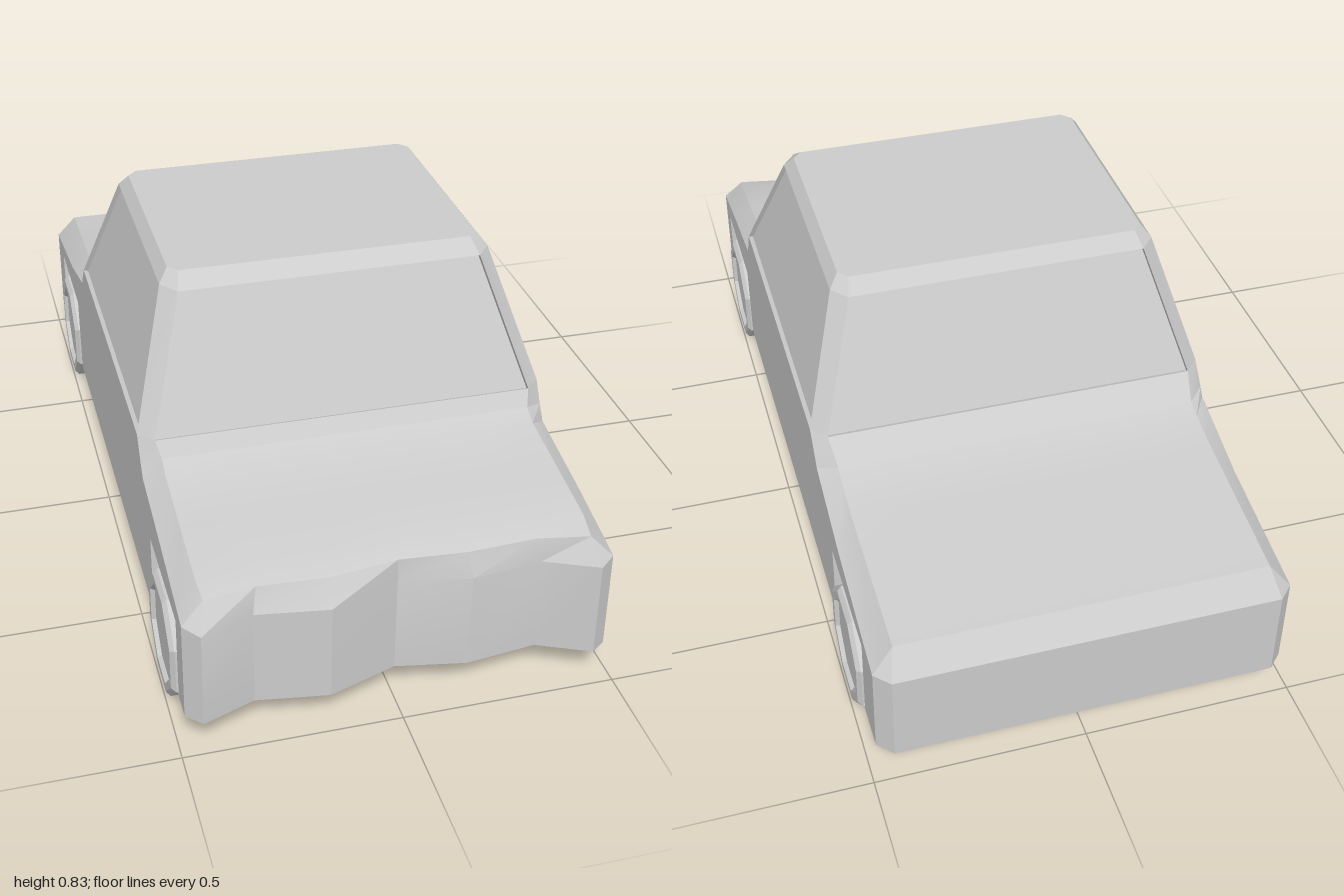
import * as THREE from 'three';
import { toCreasedNormals } from 'three/addons/utils/BufferGeometryUtils.js';

const grey = new THREE.MeshStandardMaterial({ color: 0xcccccc });
const W = 0.485, FLOOR = 0.085;
const V = (x, y, z) => new THREE.Vector3(x, y, z);

// Collects quads (dropping collapsed triangles) into a creased geometry
class Faces {
  constructor() { this.p = []; }
  tri(...t) {
    if (new THREE.Triangle(...t).getArea() > 1e-8) t.forEach(v => this.p.push(v.x, v.y, v.z));
  }
  quad(a, b, c, d) { this.tri(a, b, c); this.tri(a, c, d); }
  grid(rows) {
    for (let i = 0; i + 1 < rows.length; i++)
      for (let j = 0; j + 1 < rows[i].length; j++)
        this.quad(rows[i][j], rows[i][j + 1], rows[i + 1][j + 1], rows[i + 1][j]);
    return this;
  }
  geometry(crease = 0.35) {
    const g = new THREE.BufferGeometry();
    g.setAttribute('position', new THREE.Float32BufferAttribute(this.p, 3));
    g.computeVertexNormals();
    return toCreasedNormals(g, crease);
  }
}

// Crumpled front: z of the nose at each column across the width
const cols = [-1, -0.73, -0.36, 0, 0.36, 0.73, 1];
const dent = [1.0, 0.955, 0.98, 0.925, 0.955, 0.935, 0.99];

// Shoulder z, y (at full width), then top edge z, y and half width
const hoodRows = [
  [0.965, 0.33, 0.95, 0.38, 0.435], [0.9, 0.345, 0.89, 0.397, 0.44],
  [0.757, 0.375, 0.74, 0.42, 0.44], [0.535, 0.415, 0.58, 0.444, 0.44],
  [0.51, 0.45, 0.54, 0.465, 0.44], [0.48, 0.5, 0.515, 0.5, 0.45]];
const trunkRows = [
  [-0.355, 0.5, -0.393, 0.5, 0.45], [-0.4, 0.45, -0.45, 0.45, 0.44],
  [-0.415, 0.43, -0.49, 0.435, 0.44], [-0.634, 0.37, -0.58, 0.418, 0.44],
  [-0.965, 0.315, -0.95, 0.375, 0.435]];
const wheelWells = [[0.6, 0.9], [-0.86, -0.555]], WELL_LOW = 0.088, WELL_TOP = 0.295;

// One row across the car; z may vary by column
const across = ([zs, ys, zt, yt, t], zAt = () => zt) => [
  V(-W, ys, zs), ...cols.map((k, i) => V(k * t, yt, zAt(i))), V(W, ys, zs)];

function hoodAndNose() {
  const nose = i => dent[i];
  const rows = [
    across([0.965, FLOOR, 1, FLOOR, 0.45], nose),
    across([0.965, 0.33, 1, 0.322, 0.45], nose),
    across(hoodRows[0], i => 0.922 + 0.4 * (dent[i] - 0.925)),
    ...hoodRows.slice(1).map(r => across(r))];
  return new Faces().grid(rows).geometry();
}

function trunkAndTail() {
  const rows = [...trunkRows,
    [-0.965, 0.315, -1, 0.315, 0.45], [-0.965, FLOOR, -1, FLOOR, 0.45]];
  return new Faces().grid(rows.map(r => across(r))).geometry();
}

// Flat side with openings for the wheel wells; s = +1 left, -1 right
function sidePanel(s) {
  const pt = (z, y) => new THREE.Vector2(-s * z, y);
  const shape = new THREE.Shape([pt(0.965, FLOOR),
    ...[...hoodRows, ...trunkRows].map(r => pt(r[0], r[1])), pt(-0.965, FLOOR)]);
  for (const [a, b] of wheelWells)
    shape.holes.push(new THREE.Path([pt(a, WELL_LOW), pt(b, WELL_LOW), pt(b, WELL_TOP), pt(a, WELL_TOP)]));
  return new THREE.ShapeGeometry(shape).rotateY(s * Math.PI / 2).translate(s * W, 0, 0);
}

// Inward-facing box; its open side lies on the side panel
function wheelWell(s, [a, b]) {
  const depth = 0.11;
  const g = new THREE.BoxGeometry(depth, WELL_TOP - WELL_LOW, b - a).scale(-1, 1, 1);
  g.computeVertexNormals();
  return g.translate(s * (W - depth / 2), (WELL_TOP + WELL_LOW) / 2, (a + b) / 2);
}

function underside() {
  const p = (x, z) => new THREE.Vector2(x, z);
  const shape = new THREE.Shape([p(-W, -0.965), p(-0.45, -1), p(0.45, -1), p(W, -0.965), p(W, 0.965),
    ...cols.map((k, i) => p(k * 0.45, dent[i])).reverse(), p(-W, 0.965)]);
  return new THREE.ShapeGeometry(shape).rotateX(Math.PI / 2).translate(0, FLOOR, 0);
}

// Eight-cornered ring of the cabin, closed
const ring = (y, fx, sx, zf, zsf, zsr, zr) => [
  [-fx, zf], [fx, zf], [sx, zsf], [sx, zsr], [fx, zr], [-fx, zr], [-sx, zsr], [-sx, zsf], [-fx, zf]
].map(([x, z]) => V(x, y, z));

function buildCabin(add) {
  const low = ring(0.5, 0.45, W, 0.515, 0.48, -0.355, -0.393);
  const high = ring(0.8, 0.36, 0.395, 0.38, 0.335, -0.23, -0.27);
  const roof = ring(0.83, 0.35, 0.372, 0.335, 0.312, -0.207, -0.232);
  add('roof', new Faces().grid([high, roof, roof.map(() => V(0, 0.83, 0.05))]).geometry());

  const pillars = new Faces();
  const names = ['windshield', 'leftWindow', 'rearWindow', 'rightWindow'];
  for (let j = 0; j < 8; j++) {
    const q = [low[j], low[j + 1], high[j + 1], high[j]];
    if (j % 2) { pillars.quad(...q); continue; }
    // Recessed pane with its reveal
    const n = new THREE.Triangle(q[0], q[1], q[2]).getNormal(V(0, 0, 0));
    const inner = q.map(v => v.clone().addScaledVector(n, -0.012));
    const pane = new Faces();
    pane.quad(...inner);
    for (let i = 0; i < 4; i++) {
      const k = (i + 1) % 4;
      pane.quad(q[i], q[k], inner[k], inner[i]);
    }
    add(names[j / 2], pane.geometry());
  }
  add('pillars', pillars.geometry());
}

// Octagonal wheel standing on a flat, with a bevelled edge and sunken hub
function wheelGeometry(s) {
  const profile = [[0, -0.05], [0.149, -0.05], [0.149, 0.042], [0.137, 0.052],
    [0.117, 0.052], [0.11, 0.042], [0, 0.042]].map(p => new THREE.Vector2(...p));
  const g = new THREE.LatheGeometry(profile, 8, Math.PI / 8).toNonIndexed();
  g.computeVertexNormals();
  return g.rotateZ(-s * Math.PI / 2);
}

export function createModel() {
  const car = new THREE.Group();
  car.name = 'car';
  const add = (name, geometry) => {
    const mesh = new THREE.Mesh(geometry, grey);
    mesh.name = name;
    car.add(mesh);
    return mesh;
  };
  add('hoodAndNose', hoodAndNose());
  add('trunkAndTail', trunkAndTail());
  add('underside', underside());
  buildCabin(add);
  for (const s of [1, -1]) {
    const side = s > 0 ? 'left' : 'right';
    add(side + 'SidePanel', sidePanel(s));
    ['Front', 'Rear'].forEach((end, i) => {
      add(side + end + 'WheelWell', wheelWell(s, wheelWells[i]));
      add(side + end + 'Wheel', wheelGeometry(s)).position.set(s * 0.445, 0.1377, [0.745, -0.71][i]);
    });
  }
  return car;
}
